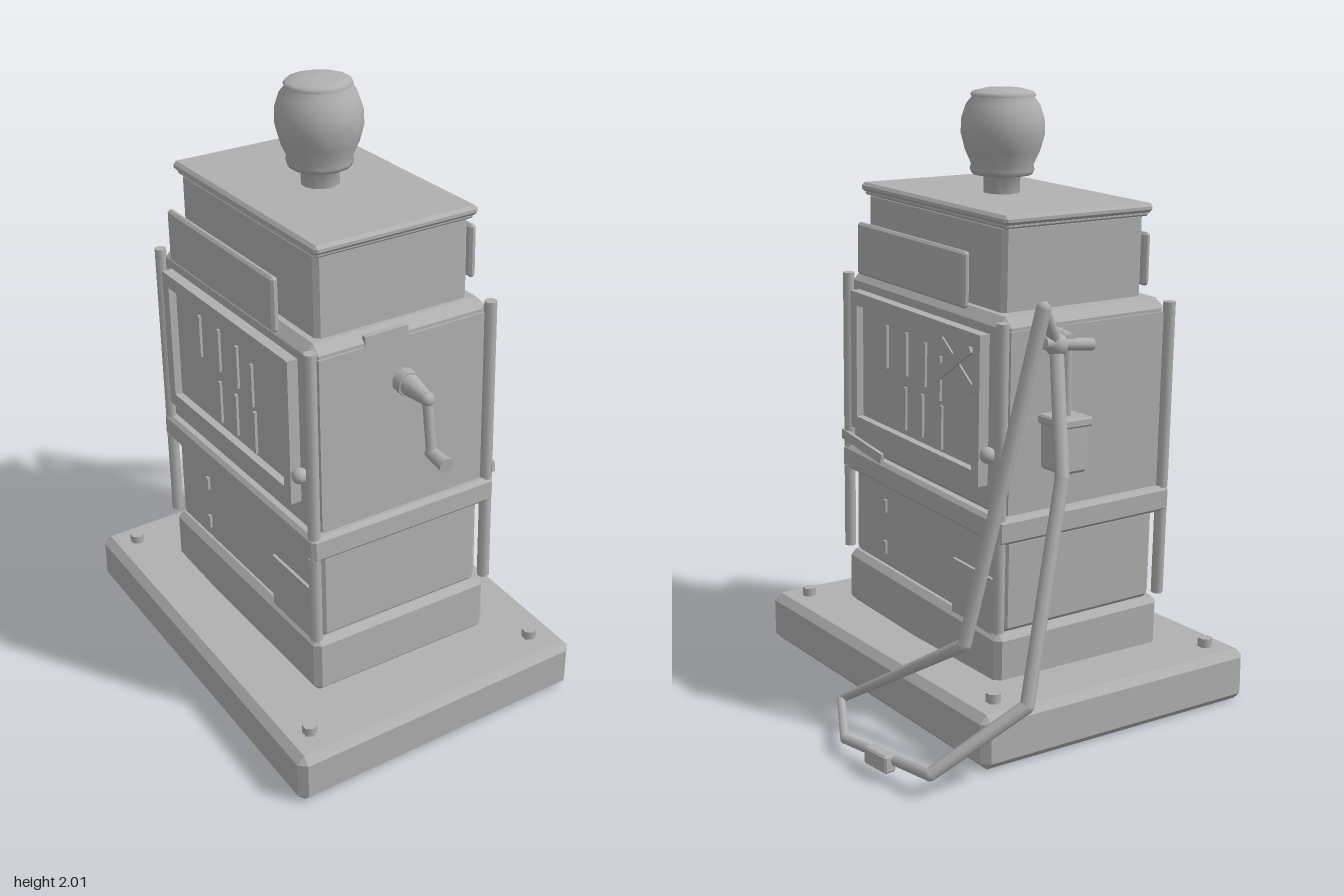
import * as THREE from 'three';
import { ConvexGeometry } from 'three/addons/geometries/ConvexGeometry.js';

const V = (x, y, z) => new THREE.Vector3(x, y, z);

export function createModel() {
  const grey = new THREE.MeshStandardMaterial({ color: 0xb0b0b0 });
  grey.name = 'plain grey';
  const root = new THREE.Group();
  root.name = 'fuelPump';

  const add = (parent, name, geometry, x = 0, y = 0, z = 0) => {
    const mesh = new THREE.Mesh(geometry, grey);
    mesh.name = name;
    mesh.position.set(x, y, z);
    parent.add(mesh);
    return mesh;
  };
  const box = (parent, name, w, h, d, x, y, z) =>
    add(parent, name, new THREE.BoxGeometry(w, h, d), x, y, z);

  // Box with every edge cut off by c; y0 and y1 are its bottom and top
  const chamferBox = (parent, name, w, y0, y1, d, c, x = 0, z = 0) => {
    const a = w / 2, b = (y1 - y0) / 2, e = d / 2, pts = [];
    for (const i of [-1, 1]) for (const j of [-1, 1]) for (const k of [-1, 1]) {
      pts.push(V(i * a, j * (b - c), k * (e - c)));
      pts.push(V(i * (a - c), j * b, k * (e - c)));
      pts.push(V(i * (a - c), j * (b - c), k * e));
    }
    return add(parent, name, new ConvexGeometry(pts), x, (y0 + y1) / 2, z);
  };

  // Round rod between two points, r0 at the start and r1 at the end
  const rod = (parent, name, p, q, r0, r1 = r0, sides = 10) => {
    const dir = q.clone().sub(p);
    const mesh = add(parent, name, new THREE.CylinderGeometry(r1, r0, dir.length(), sides));
    mesh.position.copy(p).add(q).multiplyScalar(0.5);
    mesh.quaternion.setFromUnitVectors(V(0, 1, 0), dir.normalize());
    return mesh;
  };

  // Base slab and its four bolts
  chamferBox(root, 'base', 1.05, 0, 0.175, 1.395, 0.025, -0.145, 0.078);
  for (const x of [-0.575, 0.28]) for (const z of [-0.52, 0.67])
    add(root, 'baseBolt', new THREE.CylinderGeometry(0.024, 0.024, 0.04, 6), x, 0.185, z);

  // Leaning cabinet, stacked from the plinth up
  const body = new THREE.Group();
  body.name = 'leaningCabinet';
  body.position.set(-0.145, 0.18, 0.078);
  body.rotation.set(-0.05, 0, -0.018);
  root.add(body);
  chamferBox(body, 'plinth', 0.655, -0.02, 0.175, 0.945, 0.02);
  chamferBox(body, 'lowerCabinet', 0.62, 0.16, 0.5, 0.92, 0.03);
  chamferBox(body, 'waistBand', 0.68, 0.48, 0.565, 0.98, 0.012);
  chamferBox(body, 'mainCabinet', 0.64, 0.55, 1.19, 0.93, 0.03);
  chamferBox(body, 'head', 0.54, 1.17, 1.46, 0.81, 0.015, 0, 0.015);
  chamferBox(body, 'roofUnderlay', 0.55, 1.448, 1.465, 0.84, 0.006, 0, 0.015);
  chamferBox(body, 'roof', 0.57, 1.46, 1.49, 0.865, 0.01, 0, 0.015);

  // Corner rods, upper and lower
  for (const x of [-0.322, 0.322]) for (const z of [-0.467, 0.467]) {
    rod(body, 'upperCornerRod', V(x, 0.56, z), V(x, 1.18, z), 0.02, 0.02, 8);
    rod(body, 'lowerCornerRod', V(x, 0.19, z), V(x, 0.49, z), 0.02, 0.02, 8);
  }

  // Front and back doors with a catch in front
  box(body, 'frontDoor', 0.59, 0.58, 0.02, 0, 0.86, 0.462);
  box(body, 'frontCatch', 0.15, 0.035, 0.02, -0.06, 1.165, 0.462);
  box(body, 'backDoor', 0.59, 0.58, 0.02, 0, 0.86, -0.462);

  // Side frame outline with its opening
  const rect = (Type, w, h) => {
    const s = new Type();
    s.moveTo(-w / 2, -h / 2);
    s.lineTo(w / 2, -h / 2);
    s.lineTo(w / 2, h / 2);
    s.lineTo(-w / 2, h / 2);
    s.closePath();
    return s;
  };
  const frameShape = rect(THREE.Shape, 0.79, 0.48);
  frameShape.holes.push(rect(THREE.Path, 0.71, 0.39));
  const frameGeo = new THREE.ExtrudeGeometry(frameShape, { depth: 0.04, bevelEnabled: false }).rotateY(Math.PI / 2);

  // Both sides, the second turned half round from the first
  const slots = [[0.19, 0.975], [0.065, 0.975], [-0.05, 0.965], [-0.14, 0.94], [0.07, 0.79], [-0.034, 0.79], [-0.15, 0.78]];
  for (const s of [1, -1]) {
    add(body, 'sideFrame', frameGeo, s > 0 ? 0.316 : -0.356, 0.893, 0);
    box(body, 'sidePanel', 0.012, 0.4, 0.72, s * 0.324, 0.893, 0);
    for (const [z, y] of slots)
      box(body, 'ventSlat', 0.014, 0.145, 0.012, s * 0.332, y, s * z);
    chamferBox(body, 'signBoard', 0.024, 1.2, 1.375, 0.65, 0.008, s * 0.352, 0.01);
    add(body, 'sideKnob', new THREE.SphereGeometry(0.026, 10, 8), s * 0.338, 0.76, s * -0.42);
    box(body, 'repairPatch', 0.016, 0.185, 0.23, s * 0.312, 0.26, s * -0.315);
    for (const y of [0.25, 0.4])
      box(body, 'lowerSlat', 0.014, 0.045, 0.015, s * 0.312, y, s * 0.235);
  }
  // Boards nailed on the right-hand side
  for (const a of [-0.6, 0.6])
    box(body, 'crossedBoard', 0.012, 0.038, 0.25, 0.335 + a * 0.008, 1.01, -0.217).rotation.x = a;
  box(body, 'looseBoard', 0.012, 0.035, 0.27, 0.338, 0.59, 0.35).rotation.x = -0.09;

  // Globe lamp on its neck
  const globe = [[0.06, 1.47], [0.06, 1.545], [0.098, 1.55], [0.106, 1.565], [0.102, 1.582], [0.122, 1.625],
    [0.137, 1.68], [0.135, 1.73], [0.12, 1.775], [0.102, 1.797], [0.107, 1.804], [0.1, 1.815], [0.06, 1.825], [0, 1.828]];
  add(body, 'globeLamp', new THREE.LatheGeometry(globe.map(([r, y]) => new THREE.Vector2(r, y)), 14), 0, 0, 0.018);

  // Front crank
  const cx = -0.13;
  rod(root, 'crankHub', V(cx, 1.21, 0.48), V(cx, 1.21, 0.535), 0.04);
  rod(root, 'crankShaft', V(cx, 1.21, 0.53), V(cx, 1.205, 0.625), 0.036, 0.02);
  add(root, 'crankElbow', new THREE.SphereGeometry(0.023, 10, 8), cx, 1.205, 0.625);
  rod(root, 'crankArm', V(cx, 1.205, 0.625), V(cx - 0.002, 1.035, 0.655), 0.016);
  rod(root, 'crankHandle', V(cx, 1.035, 0.645), V(cx, 1.03, 0.73), 0.02, 0.025);

  // Valve and nozzle holder on the back
  rod(root, 'valveFlange', V(0.01, 1.27, -0.43), V(0.01, 1.27, -0.465), 0.05);
  rod(root, 'valvePipe', V(0.01, 1.27, -0.45), V(0.01, 1.27, -0.53), 0.036, 0.022);
  rod(root, 'valveBar', V(-0.08, 1.25, -0.52), V(0.1, 1.27, -0.52), 0.02);
  add(root, 'valveBall', new THREE.SphereGeometry(0.036, 12, 8), 0.05, 1.26, -0.515);
  rod(root, 'holderRod', V(0, 1.26, -0.5), V(0, 1.02, -0.5), 0.016);
  chamferBox(root, 'holderBox', 0.1, 0.86, 1.02, 0.12, 0.01, 0, -0.49);
  chamferBox(root, 'holderRim', 0.12, 1.005, 1.035, 0.14, 0.006, 0, -0.49);

  // Kinked hose trailing on the ground
  const hose = [[0.125, 1.38, -0.55], [0.34, 0.35, -0.45], [0.53, 0.065, -0.01], [0.655, 0.05, -0.26],
    [0.595, 0.07, -0.655], [0.325, 0.255, -0.76], [0.125, 0.89, -0.65], [0.05, 1.25, -0.515]].map(p => V(...p));
  const radii = [0.024, 0.022, 0.014, 0.016, 0.02, 0.022, 0.022, 0.022];
  for (let i = 0; i < hose.length - 1; i++) {
    rod(root, 'hoseLength', hose[i], hose[i + 1], radii[i], radii[i + 1], 8);
    add(root, 'hoseBend', new THREE.SphereGeometry(radii[i], 8, 6)).position.copy(hose[i]);
  }
  rod(root, 'hoseTopLink', V(0.05, 1.26, -0.515), hose[0], 0.02);
  chamferBox(root, 'nozzleGrip', 0.042, 0.026, 0.082, 0.11, 0.006, 0.643, -0.45).rotation.y = 0.12;

  return root;
}
